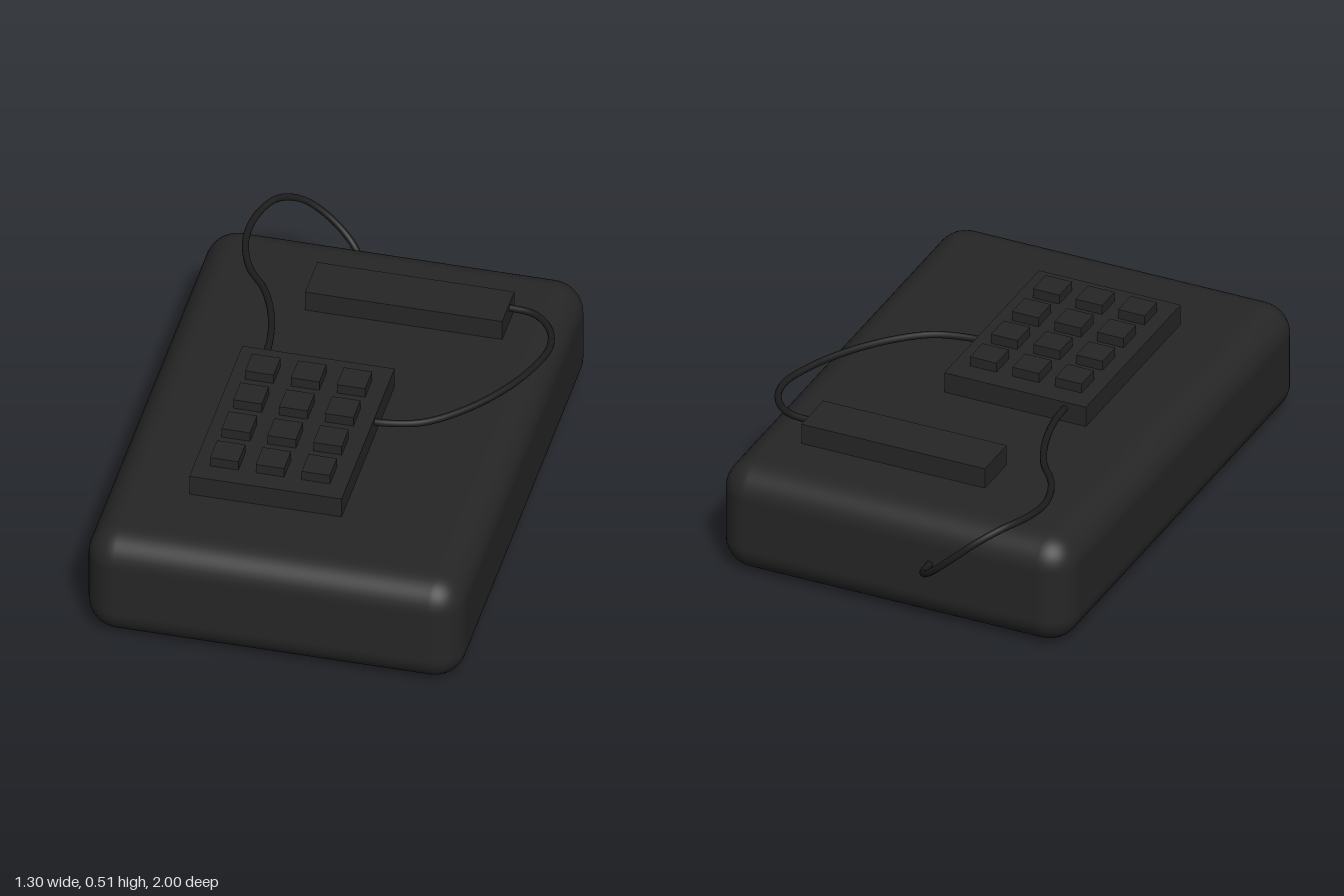
import * as THREE from 'three';
import { RoundedBoxGeometry } from 'three/addons/geometries/RoundedBoxGeometry.js';

export function createModel() {
  const model = new THREE.Group();
  model.name = 'keypadBox';
  const casing = new THREE.MeshStandardMaterial({ color: 0x262626 });
  const cable = new THREE.MeshStandardMaterial({ color: 0x1c1c1c });

  const add = (name, geometry, material, x = 0, y = 0, z = 0) => {
    const mesh = new THREE.Mesh(geometry, material);
    mesh.name = name;
    mesh.position.set(x, y, z);
    model.add(mesh);
  };
  const wire = (name, points) => {
    const path = new THREE.CatmullRomCurve3(points.map((p) => new THREE.Vector3(...p)));
    add(name, new THREE.TubeGeometry(path, 72, 0.012, 10), cable);
  };

  // Rounded main case
  add('case', new RoundedBoxGeometry(1.3, 0.405, 1.84, 5, 0.11), casing, 0, 0.2025, 0.08);

  // Raised keypad with a 3 by 4 block of keys
  add('keypad', new THREE.BoxGeometry(0.525, 0.09, 0.74), casing, -0.0975, 0.435, 0.3);
  const keyGeometry = new THREE.BoxGeometry(0.098, 0.05, 0.098);
  for (let row = 0; row < 4; row++) {
    for (let column = 0; column < 3; column++) {
      add('key', keyGeometry, casing, -0.258 + column * 0.158, 0.49, 0.057 + row * 0.164);
    }
  }

  // Display bar
  add('displayBar', new THREE.BoxGeometry(0.68, 0.09, 0.17), casing, 0.113, 0.435, -0.493);

  // Cable from the keypad's side to the end of the display bar
  wire('displayCable', [
    [0.14, 0.46, 0.205], [0.2, 0.46, 0.203], [0.32, 0.46, 0.17], [0.43, 0.46, 0.08],
    [0.53, 0.46, -0.05], [0.6, 0.46, -0.19], [0.635, 0.46, -0.33],
    [0.61, 0.46, -0.43], [0.54, 0.46, -0.5], [0.43, 0.46, -0.515],
  ]);

  // Cable from the keypad over the back edge and into the case
  wire('caseCable', [
    [-0.28, 0.455, -0.05], [-0.285, 0.455, -0.15], [-0.315, 0.455, -0.29],
    [-0.37, 0.455, -0.42], [-0.45, 0.456, -0.53], [-0.495, 0.465, -0.67],
    [-0.485, 0.475, -0.8], [-0.44, 0.472, -0.9], [-0.37, 0.43, -0.965],
    [-0.28, 0.35, -0.988], [-0.2, 0.275, -0.965], [-0.155, 0.238, -0.91], [-0.145, 0.228, -0.83],
  ]);

  return model;
}
